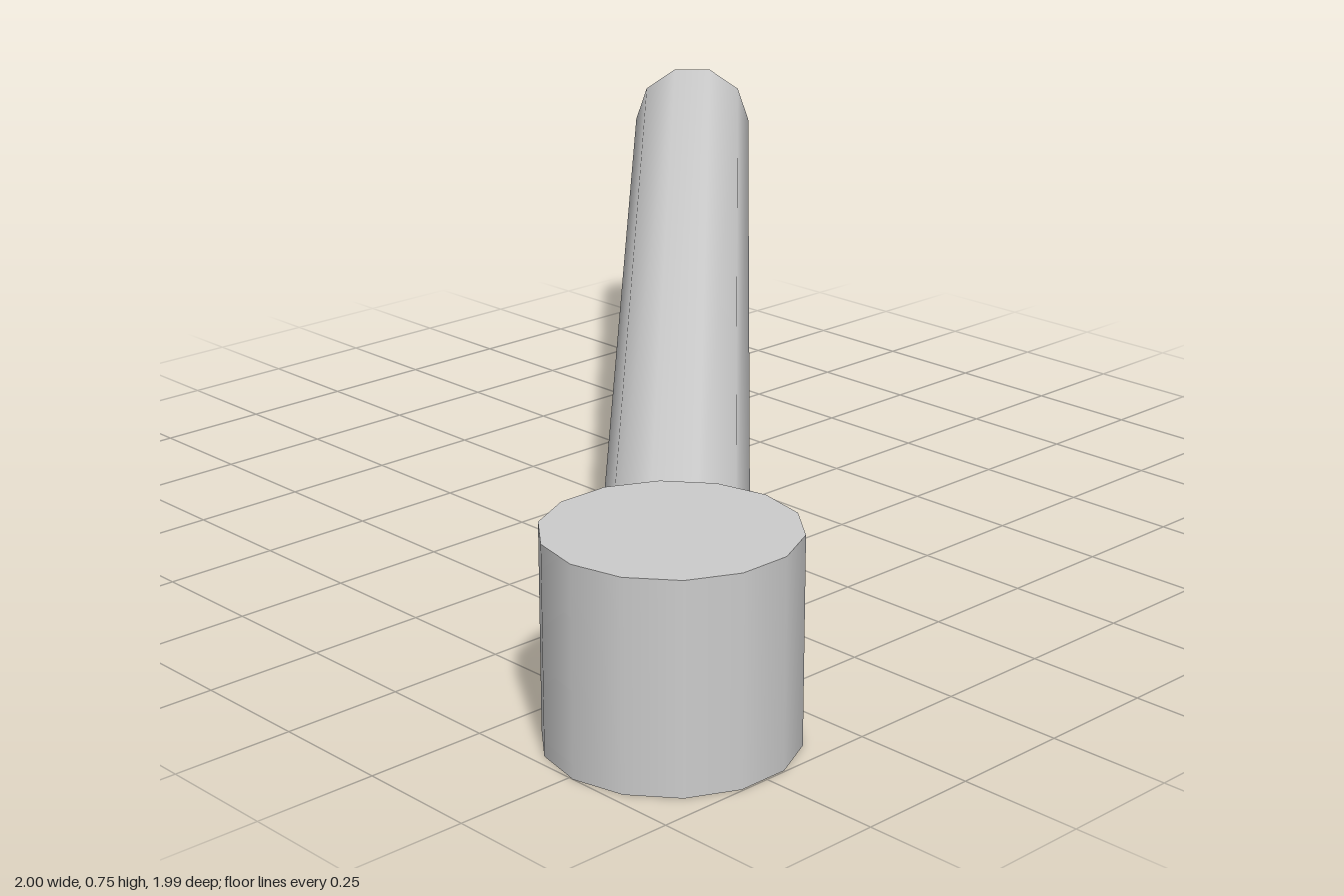
import * as THREE from 'three';

export function createModel() {
  const model = new THREE.Group();
  const grey = new THREE.MeshStandardMaterial({ color: 0xcccccc, side: THREE.DoubleSide });
  grey.name = 'light grey';

  // Upright 14-sided drum standing on the ground
  const height = 0.415;
  const hub = new THREE.Vector3(-0.757, height / 2, 0.76);
  const base = new THREE.Mesh(
    new THREE.CylinderGeometry(0.243, 0.243, height, 14, 1, false, Math.PI / 2), grey);
  base.name = 'base';
  base.position.copy(hub);
  model.add(base);

  // Open 10-sided tube rising from the middle of the drum
  const end = new THREE.Vector3(0.898, 0.615, -0.895);
  const length = hub.distanceTo(end);
  const tubeShape = new THREE.CylinderGeometry(0.144, 0.144, length, 10, 1, true, Math.PI / 2);
  tubeShape.rotateX(Math.PI / 2).translate(0, 0, length / 2);
  const tube = new THREE.Mesh(tubeShape, grey);
  tube.name = 'tube';
  tube.position.copy(hub);
  tube.lookAt(end);
  model.add(tube);

  return model;
}
